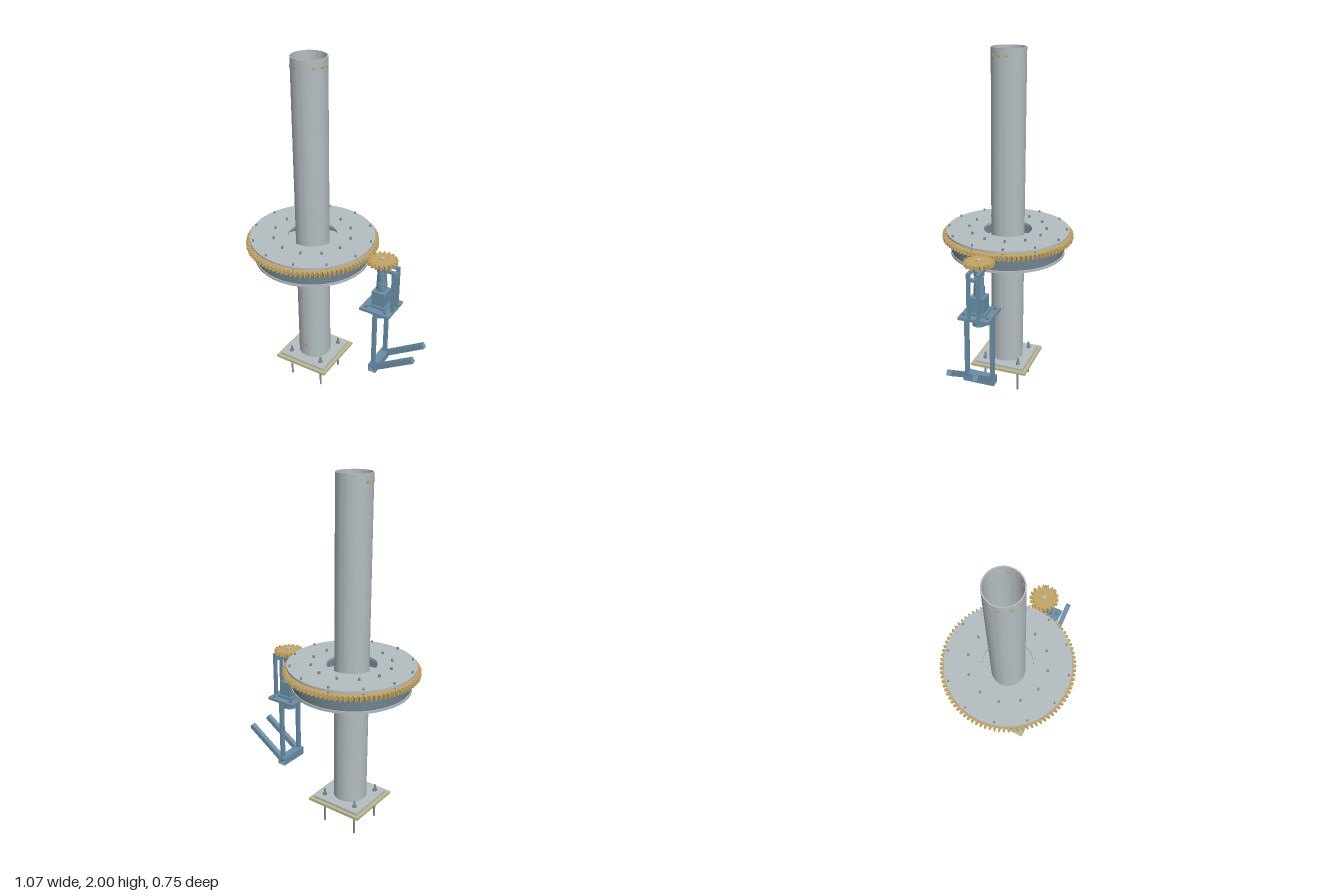
import * as THREE from 'three';
import { toCreasedNormals } from 'three/addons/utils/BufferGeometryUtils.js';

const mat = (name, color) => {
  const m = new THREE.MeshStandardMaterial({ color });
  m.name = name;
  return m;
};

export function createModel() {
  const grey = mat('galvanised grey', 0xb4bdc1);
  const slate = mat('slate ring', 0x6f838f);
  const blue = mat('drive blue', 0x6a8fa8);
  const gold = mat('brass', 0xc4a562);
  const khaki = mat('pale khaki', 0xbdb98a);
  const steel = mat('bolt steel', 0x868f94);

  const root = new THREE.Group();
  root.name = 'rotaryMast';
  const mast = new THREE.Group();
  mast.name = 'mastAssembly';
  mast.position.x = -0.16;
  const drive = new THREE.Group();
  drive.name = 'driveAssembly';
  drive.position.x = 0.285;
  root.add(mast, drive);

  const add = (parent, name, geo, material, x = 0, y = 0, z = 0) => {
    const m = new THREE.Mesh(geo, material);
    m.name = name;
    m.position.set(x, y, z);
    parent.add(m);
    return m;
  };
  const box = (p, name, m, x0, x1, y0, y1, z0, z1) =>
    add(p, name, new THREE.BoxGeometry(x1 - x0, y1 - y0, z1 - z0), m, (x0 + x1) / 2, (y0 + y1) / 2, (z0 + z1) / 2);
  const cyl = (p, name, m, r, y0, y1, x = 0, z = 0, seg = 24) =>
    add(p, name, new THREE.CylinderGeometry(r, r, y1 - y0, seg), m, x, (y0 + y1) / 2, z);

  // Flat outline with an optional round bore, raised from y0 to y1
  const raise = (p, name, m, shape, bore, y0, y1) => {
    if (bore) shape.holes.push(new THREE.Path().absarc(0, 0, bore, 0, Math.PI * 2, true));
    const g = new THREE.ExtrudeGeometry(shape, { depth: y1 - y0, bevelEnabled: false, curveSegments: 64 });
    g.rotateX(-Math.PI / 2);
    return add(p, name, toCreasedNormals(g, 0.3), m, 0, y0, 0);
  };
  const disc = r => new THREE.Shape().absarc(0, 0, r, 0, Math.PI * 2, false);
  const square = h => new THREE.Shape([[-h, -h], [h, -h], [h, h], [-h, h]].map(c => new THREE.Vector2(...c)));
  const gear = (n, rRoot, rTip, phase) => {
    const pts = [];
    for (let i = 0; i < n; i++) {
      for (const [f, r] of [[-0.36, rRoot], [-0.26, (rRoot + rTip) / 2], [-0.12, rTip],
        [0.12, rTip], [0.26, (rRoot + rTip) / 2], [0.36, rRoot]]) {
        const a = (i + f + phase) * Math.PI * 2 / n;
        pts.push(new THREE.Vector2(Math.cos(a) * r, Math.sin(a) * r));
      }
    }
    return new THREE.Shape(pts);
  };

  // Base slab, base plate and pipe
  raise(mast, 'baseSlab', khaki, square(0.17), 0.085, 0.147, 0.162);
  raise(mast, 'basePlate', grey, square(0.15), 0.088, 0.162, 0.175);
  raise(mast, 'mastPipe', grey, disc(0.095), 0.089, 0.165, 2);

  // Anchor rods with nuts
  for (const x of [-0.104, 0.104]) {
    for (const z of [-0.104, 0.104]) {
      cyl(mast, 'anchorRod', steel, 0.006, 0, 0.215, x, z, 12);
      cyl(mast, 'anchorNut', steel, 0.012, 0.175, 0.19, x, z, 6);
    }
  }

  // Radial pins near the top of the pipe and one low at the front
  const pin = (deg, y, r) => {
    const a = deg * Math.PI / 180;
    const g = new THREE.CylinderGeometry(r, r, 0.014, 12);
    const m = add(mast, 'pipePin', g, gold, Math.sin(a) * 0.092, y, Math.cos(a) * 0.092);
    m.rotation.set(Math.PI / 2, 0, -a, 'YXZ');
    m.rotation.set(Math.PI / 2, a, 0, 'YXZ');
  };
  [-13, -42, 46, 77, 103, -77, -103].forEach(d => pin(d, 1.96, 0.008));
  pin(0, 0.26, 0.011);

  // Slewing stack: fixed flange, bearing ring, ring gear, top plate
  raise(mast, 'lowerFlange', grey, disc(0.328), 0.094, 0.855, 0.869);
  raise(mast, 'bearingRing', slate, disc(0.323), 0.27, 0.869, 0.928);
  raise(mast, 'spacerRing', grey, disc(0.31), 0.27, 0.928, 0.945);
  raise(mast, 'ringGear', gold, gear(90, 0.354, 0.374, 0), 0.3, 0.945, 0.969);
  raise(mast, 'topPlate', grey, disc(0.352), 0.138, 0.98, 0.993);

  // Bolt circles
  for (let i = 0; i < 12; i++) {
    const a = (15 + 30 * i) * Math.PI / 180, c = Math.cos(a), s = Math.sin(a);
    cyl(mast, 'innerBolt', steel, 0.007, 0.93, 1.006, c * 0.222, s * 0.222, 10);
    cyl(mast, 'outerBolt', steel, 0.006, 0.935, 1.004, c * 0.337, s * 0.337, 10);
    cyl(mast, 'flangeBolt', steel, 0.008, 0.843, 0.857, c * 0.297, s * 0.297, 10);
  }

  // Four triangular gussets under the flange
  const tri = new THREE.Shape([[0.092, 0.745], [0.29, 0.855], [0.092, 0.855]].map(c => new THREE.Vector2(...c)));
  const gussetGeo = new THREE.ExtrudeGeometry(tri, { depth: 0.01, bevelEnabled: false }).translate(0, 0, -0.005);
  for (let i = 0; i < 4; i++) add(mast, 'gusset', gussetGeo, grey).rotation.y = i * Math.PI / 2;

  // Pinion and its shaft
  raise(drive, 'pinion', gold, gear(18, 0.064, 0.083, 0.5), 0, 0.946, 0.968);
  cyl(drive, 'pinionShaft', grey, 0.013, 0.8, 0.978);

  // Bearing, coupling and gearbox
  cyl(drive, 'shaftBearing', blue, 0.028, 0.888, 0.918);
  cyl(drive, 'couplingUpper', blue, 0.027, 0.828, 0.872);
  cyl(drive, 'couplingLower', blue, 0.03, 0.78, 0.824);
  cyl(drive, 'couplingInsert', slate, 0.023, 0.77, 0.88);
  box(drive, 'gearbox', blue, -0.04, 0.04, 0.685, 0.77, -0.04, 0.04);
  box(drive, 'gearboxFoot', blue, -0.05, 0.05, 0.67, 0.685, -0.05, 0.05);
  cyl(drive, 'motor', blue, 0.039, 0.6, 0.655);
  box(drive, 'mountPlate', blue, -0.09, 0.092, 0.655, 0.67, -0.088, 0.088);
  for (const x of [-0.06, 0.06])
    for (const z of [-0.066, 0.066]) cyl(drive, 'mountBolt', slate, 0.008, 0.645, 0.684, x, z, 6);

  // Mirrored frame: posts, top bars, legs and sloping arms
  const dx = 0.245, dy = 0.16, len = Math.hypot(dx, dy);
  for (const s of [-1, 1]) {
    const zBar = (name, x0, x1, y0, y1, zc, w) =>
      box(drive, name, blue, x0, x1, y0, y1, s * zc - w / 2, s * zc + w / 2);
    zBar('framePost', 0.074, 0.091, 0.67, 0.93, 0.027, 0.018);
    zBar('frameTopBar', -0.03, 0.091, 0.915, 0.93, 0.027, 0.018);
    zBar('leg', -0.008, 0.011, 0.275, 0.655, 0.074, 0.024);
    const arm = add(drive, 'slopingArm', new THREE.BoxGeometry(len, 0.03, 0.027), blue,
      dx / 2, 0.267 + dy / 2, s * 0.073);
    arm.rotation.z = Math.atan2(dy, dx);
  }
  box(drive, 'frameCrossBar', blue, 0.074, 0.091, 0.885, 0.902, -0.036, 0.036);

  // Hollow square foot tube running front to back
  const foot = square(0.024);
  foot.holes.push(new THREE.Path([[-0.021, -0.021], [-0.021, 0.021], [0.021, 0.021], [0.021, -0.021]]
    .map(c => new THREE.Vector2(...c))));
  add(drive, 'footTube', new THREE.ExtrudeGeometry(foot, { depth: 0.18, bevelEnabled: false }), blue, 0, 0.268, -0.09);

  return root;
}
